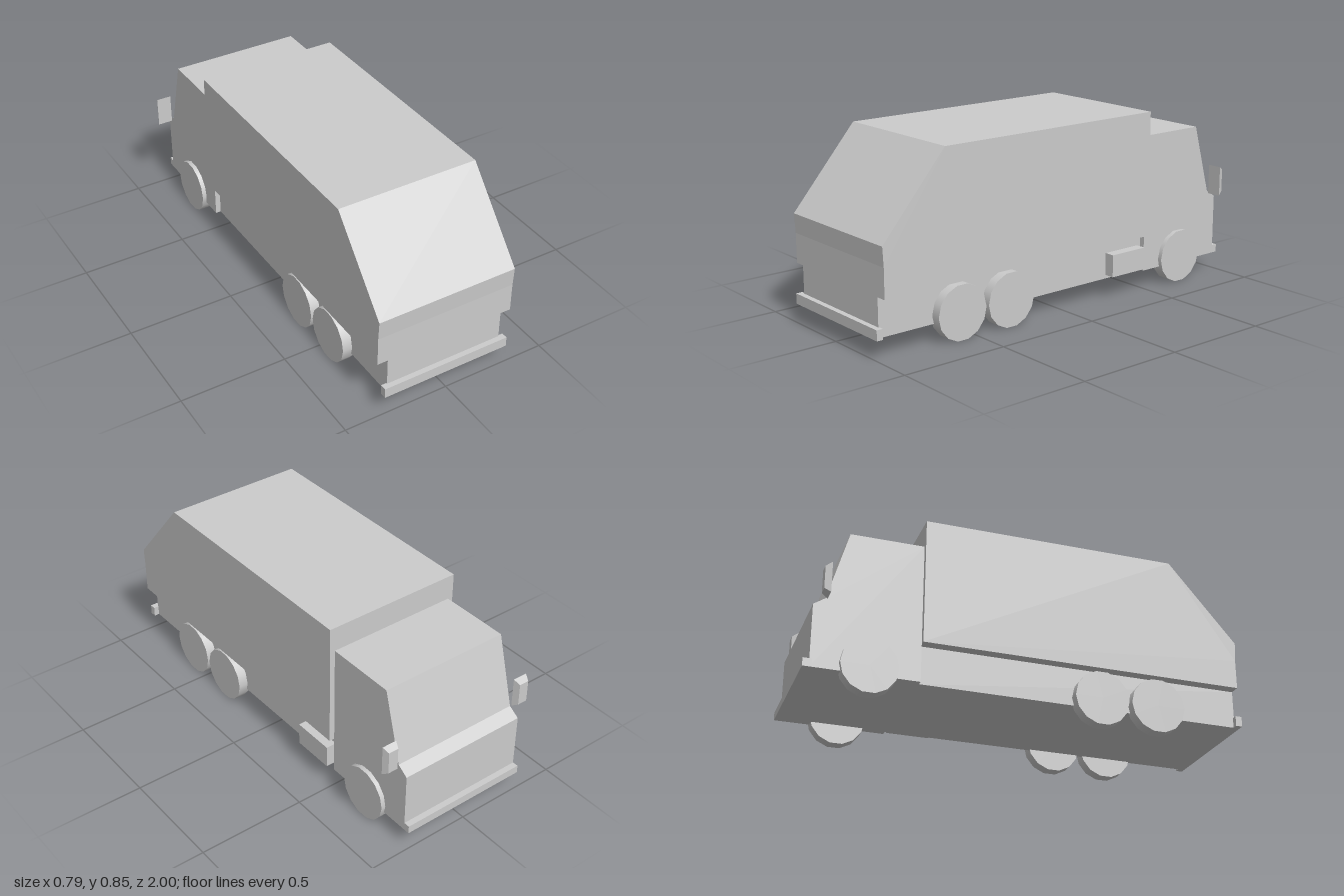
import * as THREE from 'three';

const material = new THREE.MeshStandardMaterial({ color: 0xcccccc });

export function createModel() {
  const truck = new THREE.Group();
  truck.name = 'garbageTruck';

  const add = (name, geometry, x = 0, y = 0, z = 0) => {
    const mesh = new THREE.Mesh(geometry, material);
    mesh.name = name;
    mesh.position.set(x, y, z);
    truck.add(mesh);
    return mesh;
  };

  // Side outline given as [z, y] points, extruded across the width
  const sideProfile = (points, halfWidth) => {
    const shape = new THREE.Shape(points.map(([z, y]) => new THREE.Vector2(-z, y)));
    return new THREE.ExtrudeGeometry(shape, { depth: halfWidth * 2, bevelEnabled: false })
      .translate(0, 0, -halfWidth)
      .rotateY(Math.PI / 2);
  };

  // Refuse container with sloping tail
  add('container', sideProfile([
    [-0.5, 0.265], [-0.5, 0.85], [0.665, 0.85], [0.98, 0.488], [0.975, 0.4], [0.975, 0.265],
  ], 0.335));

  // Narrow chassis below the container
  add('chassis', new THREE.BoxGeometry(0.57, 0.175, 1.475), 0, 0.1775, 0.2375);

  // Cab with raked windscreen and short sill
  add('cab', sideProfile([
    [-0.5, 0.09], [-0.5, 0.735], [-0.83, 0.735], [-0.921, 0.41], [-0.972, 0.376], [-0.972, 0.09],
  ], 0.31));

  // Bumpers
  add('tailBumper', new THREE.BoxGeometry(0.62, 0.047, 0.03), 0, 0.1135, 0.985);
  add('cabBumper', new THREE.BoxGeometry(0.62, 0.037, 0.04), 0, 0.1085, -0.98);

  // Storage box on one side only
  add('sideBox', new THREE.BoxGeometry(0.06, 0.105, 0.2), 0.304, 0.1595, -0.38);

  // Mirror housing: a box tapered towards the cab end
  const mirrorGeometry = new THREE.BoxGeometry(0.07, 0.14, 0.028);
  const corners = mirrorGeometry.attributes.position;
  for (let i = 0; i < corners.count; i++) {
    if (corners.getZ(i) < 0) {
      corners.setX(i, corners.getX(i) * 0.68);
      corners.setY(i, corners.getY(i) * 0.75);
    }
  }
  mirrorGeometry.computeVertexNormals();

  // Wheels and mirrors on both sides
  const wheelGeometry = new THREE.CylinderGeometry(0.126, 0.126, 0.057, 14).rotateZ(Math.PI / 2);
  for (const side of [-1, 1]) {
    const label = side > 0 ? 'left' : 'right';
    add(label + 'Mirror', mirrorGeometry, side * 0.359, 0.471, -0.929);
    [0.58, 0.315, -0.723].forEach((z, i) => {
      add(label + 'Wheel' + (i + 1), wheelGeometry, side * 0.302, 0.126, z);
    });
  }

  return truck;
}
